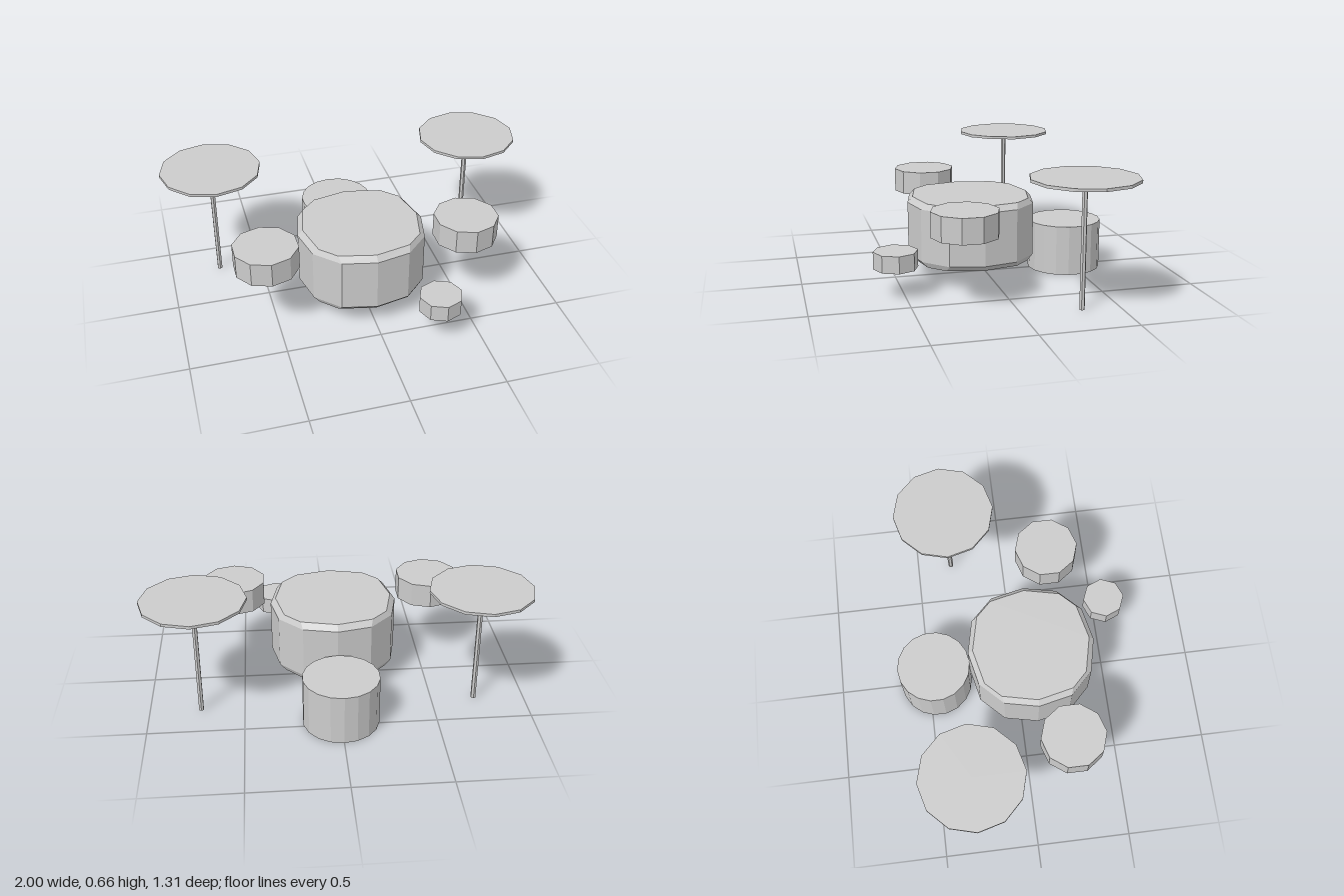
import * as THREE from 'three';

const shell = new THREE.MeshStandardMaterial({ color: 0xcccccc, flatShading: true });
shell.name = 'light grey';

// Upright drum, plate or rod standing between two heights
function cylinder(name, x, z, radius, bottom, top, sides) {
  const mesh = new THREE.Mesh(new THREE.CylinderGeometry(radius, radius, top - bottom, sides), shell);
  mesh.name = name;
  mesh.position.set(x, (bottom + top) / 2, z);
  return mesh;
}

// Twelve-cornered ring: four middle points and four cut corners
function ring(mid, near, far, y) {
  const points = [];
  for (let q = 0; q < 4; q++) {
    const a = q * Math.PI / 2, c = Math.cos(a), s = Math.sin(a);
    for (const [u, v] of [[0, mid], [near, far], [far, near]]) {
      points.push([u * c + v * s, y, v * c - u * s]);
    }
  }
  return points;
}

// Large central drum with chamfered rims and cut corners
function centralDrum() {
  const rings = [
    ring(0.315, 0.19, 0.272, 0.10), ring(0.342, 0.18, 0.303, 0.13),
    ring(0.342, 0.18, 0.303, 0.413), ring(0.315, 0.19, 0.272, 0.443),
  ];
  const n = 12, index = [];
  for (let r = 0; r < 3; r++) {
    for (let i = 0; i < n; i++) {
      const a = r * n + i, b = r * n + (i + 1) % n;
      index.push(a, b, b + n, a, b + n, a + n);
    }
  }
  for (let i = 1; i < n - 1; i++) {
    index.push(0, i + 1, i, 3 * n, 3 * n + i, 3 * n + i + 1);
  }
  const indexed = new THREE.BufferGeometry();
  indexed.setAttribute('position', new THREE.Float32BufferAttribute(rings.flat(2), 3));
  indexed.setIndex(index);
  const geometry = indexed.toNonIndexed();
  geometry.computeVertexNormals();
  const mesh = new THREE.Mesh(geometry, shell);
  mesh.name = 'centralDrum';
  mesh.position.z = 0.083;
  return mesh;
}

export function createModel() {
  const model = new THREE.Group();
  model.name = 'drumKit';
  model.add(centralDrum());
  model.add(cylinder('stool', 0, -0.457, 0.2, 0, 0.27, 18));
  model.add(cylinder('pedalDrum', 0.305, 0.542, 0.115, 0.15, 0.24, 8));

  // Mirrored side drums and cymbals on thin stands
  for (const [side, sx] of [['left', 1], ['right', -1]]) {
    model.add(cylinder(side + 'SideDrum', sx * 0.54, 0.235, 0.172, 0.36, 0.49, 10));
    model.add(cylinder(side + 'CymbalStand', sx * 0.73, -0.305, 0.014, 0, 0.65, 6));
    model.add(cylinder(side + 'Cymbal', sx * 0.73, -0.305, 0.27, 0.648, 0.663, 12));
  }
  return model;
}
